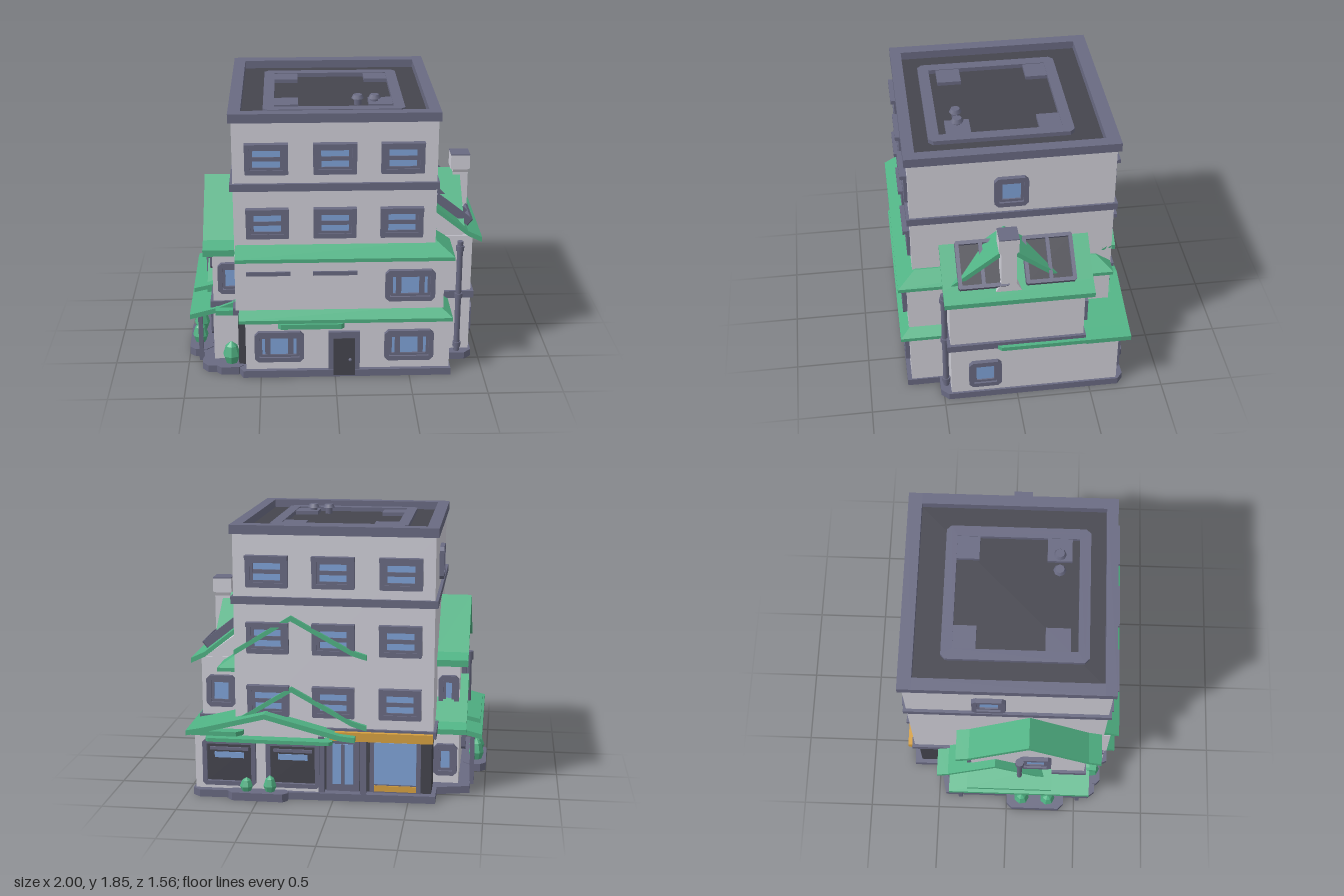
import * as THREE from 'three';

const mat = (name, color) => {
  const m = new THREE.MeshStandardMaterial({ color });
  m.name = name;
  return m;
};

export function createModel() {
  const root = new THREE.Group();
  root.name = 'townBuilding';
  const wall = mat('paleWall', 0xd0cfd8), slate = mat('slateTrim', 0x696a82), dark = mat('charcoal', 0x45454e);
  const green = mat('greenRoof', 0x50b284), glass = mat('blueGlass', 0x7fa3d8), orange = mat('orangeAwning', 0xd6a040);

  const add = (name, geo, m, parent = root) => {
    const mesh = new THREE.Mesh(geo, m);
    mesh.name = name;
    parent.add(mesh);
    return mesh;
  };
  const box = (name, m, x0, x1, y0, y1, z0, z1, parent = root) => {
    const g = new THREE.BoxGeometry(x1 - x0, y1 - y0, z1 - z0);
    return add(name, g.translate((x0 + x1) / 2, (y0 + y1) / 2, (z0 + z1) / 2), m, parent);
  };
  // Polygon extruded from a to b along an axis; points are (x,y), (z,y) or (x,z)
  const prism = (name, m, pts, axis, a, b) => {
    const shape = new THREE.Shape(pts.map(([u, v]) => new THREE.Vector2(u, axis === 'y' ? -v : v)));
    const g = new THREE.ExtrudeGeometry(shape, { depth: b - a, bevelEnabled: false });
    g.translate(0, 0, axis === 'x' ? -b : a);
    if (axis === 'x') g.rotateY(-Math.PI / 2);
    if (axis === 'y') g.rotateX(-Math.PI / 2);
    return add(name, g, m);
  };
  // Roof slab following a line of points
  const roof = (name, pts, axis, a, b, t = 0.035) =>
    prism(name, green, [...pts, ...pts.map(([u, v]) => [u, v - t]).reverse()], axis, a, b);
  // Rectangle in plan with cut corners
  const cut = (x0, x1, z0, z1, c) => [[x0 + c, z0], [x1 - c, z0], [x1, z0 + c], [x1, z1 - c],
    [x1 - c, z1], [x0 + c, z1], [x0, z1 - c], [x0, z0 + c]];
  // Sloping skirt: box whose top corners are moved to a smaller rectangle
  const skirt = (name, lo, hi, y0, yEdge, y1) => {
    const [a, b, c, d] = lo, [e, f, g, h] = hi;
    box(name + 'Edge', green, a, b, y0, yEdge, c, d);
    const geo = new THREE.BoxGeometry(1, 1, 1).toNonIndexed(), p = geo.attributes.position;
    for (let i = 0; i < p.count; i++) {
      const up = p.getY(i) > 0, r = p.getX(i) > 0, s = p.getZ(i) > 0;
      p.setXYZ(i, up ? (r ? f : e) : (r ? b : a), up ? y1 : yEdge, up ? (s ? h : g) : (s ? d : c));
    }
    geo.computeVertexNormals();
    add(name, geo, green);
  };

  // Frame with cut corners and a rectangular hole
  const frame = (w, h, t, depth, c) => {
    const shape = new THREE.Shape(cut(-w / 2, w / 2, -h / 2, h / 2, c).map(p => new THREE.Vector2(...p)));
    const iw = w / 2 - t, ih = h / 2 - t;
    shape.holes.push(new THREE.Path([[-iw, -ih], [-iw, ih], [iw, ih], [iw, -ih]].map(p => new THREE.Vector2(...p))));
    return new THREE.ExtrudeGeometry(shape, { depth, bevelEnabled: false });
  };
  const facing = (name, pos, dir) => {
    const g = new THREE.Group();
    g.name = name;
    g.position.set(...pos);
    g.lookAt(pos[0] + dir[0], pos[1] + dir[1], pos[2] + dir[2]);
    root.add(g);
    return g;
  };
  // Wide tower window with ledge, or smaller window with upright panes
  const wideWindow = (pos, dir) => {
    const g = facing('wideWindow', pos, dir);
    add('outerFrame', frame(0.28, 0.21, 0.032, 0.022, 0.006), slate, g);
    add('innerFrame', frame(0.22, 0.155, 0.021, 0.014, 0.004), slate, g);
    box('pane', glass, -0.1, 0.1, -0.065, 0.065, 0, 0.005, g);
    box('glazingBar', slate, -0.1, 0.1, -0.014, 0.014, 0, 0.012, g);
    box('ledge', slate, -0.14, 0.14, 0.08, 0.107, 0, 0.045, g);
  };
  const casement = (pos, dir, w = 0.33) => {
    const g = facing('casementWindow', pos, dir);
    add('outerFrame', frame(w, 0.22, 0.032, 0.03, 0.025), slate, g);
    add('innerFrame', frame(w - 0.06, 0.16, 0.02, 0.016, 0.012), slate, g);
    const iw = w / 2 - 0.048;
    box('pane', glass, -iw, iw, -0.062, 0.062, 0, 0.006, g);
    if (w > 0.3) for (const s of [-1, 1]) box('sidePost', slate, s * 0.077 - 0.018, s * 0.077 + 0.018, -0.062, 0.062, 0, 0.012, g);
  };
  const F = [0, 0, 1], B = [0, 0, -1], R = [1, 0, 0], L = [-1, 0, 0];

  // Plinth
  prism('plinth', slate, [[-0.9, -0.45], [-0.68, -0.5], [-0.68, -0.69], [0.25, -0.72], [0.9, -0.74], [0.95, -0.7],
    [0.95, 0.47], [0.9, 0.52], [0.78, 0.52], [0.78, 0.74], [-0.62, 0.74], [-0.66, 0.65], [-0.86, 0.65], [-0.9, 0.6]], 'y', 0, 0.05);

  // Tower and lower storeys
  box('towerWall', wall, -0.66, 0.66, 0.44, 1.78, -0.665, 0.665);
  box('shopCore', dark, -0.65, 0.66, 0.05, 0.44, -0.64, 0.64);
  box('groundFrontWall', wall, -0.6, 0.77, 0.05, 0.44, 0.4, 0.71);
  box('secondFrontWall', wall, -0.66, 0.72, 0.49, 0.88, 0.3, 0.71);
  box('rightGroundWing', wall, 0.6, 0.935, 0.05, 0.46, -0.69, 0.45);
  box('rightUpperWing', wall, 0.6, 0.935, 0.46, 0.9, -0.445, 0.45);
  box('rightWingBand', slate, 0.6, 0.955, 0.445, 0.495, -0.46, 0.47);
  box('towerLowerBand', slate, -0.68, 0.68, 0.445, 0.495, -0.685, 0.69);
  box('towerUpperBand', slate, -0.68, 0.675, 1.32, 1.37, -0.685, 0.685);

  // Flat roof with parapet, raised ring and vents
  box('roofDeck', dark, -0.61, 0.61, 1.74, 1.785, -0.61, 0.62);
  for (const [a, b, c, d] of [[-0.68, 0.675, -0.69, -0.6], [-0.68, 0.675, 0.61, 0.685],
    [-0.68, -0.6, -0.6, 0.61], [0.6, 0.675, -0.6, 0.61]]) {
    box('parapet', slate, a, b, 1.78, 1.84, c, d);
  }
  const ring = add('roofRing', frame(0.92, 0.94, 0.072, 0.03, 0.03), slate);
  ring.rotation.x = -Math.PI / 2;
  ring.position.set(0, 1.784, 0.04);
  for (const x of [-0.31, 0.31]) for (const z of [-0.29, 0.31]) {
    box('roofBlock', slate, x - 0.08, x + 0.08, 1.78, 1.81, z - 0.08, z + 0.08);
  }
  for (const x of [0.16, 0.27]) {
    add('ventStem', new THREE.CylinderGeometry(0.025, 0.025, 0.06, 8).translate(x, 1.81, 0.31), slate);
    add('ventCap', new THREE.CylinderGeometry(0.03, 0.042, 0.025, 8).translate(x, 1.84, 0.31), slate);
  }

  // Tower windows
  for (const x of [-0.44, 0, 0.435]) {
    for (const y of [1.537, 1.095]) wideWindow([x, y, 0.665], F);
    for (const y of [1.537, 1.095, 0.67]) wideWindow([x, y, -0.665], B);
    if (x < 0.4) box('windowHeader', slate, x - 0.145, x + 0.145, 0.74, 0.768, 0.7, 0.72);
  }
  casement([0.66, 1.535, 0.01], R, 0.22);
  casement([-0.66, 1.535, -0.12], L, 0.22);
  // Lower windows
  casement([0.495, 0.665, 0.71], F);
  casement([0.495, 0.225, 0.71], F);
  casement([-0.375, 0.225, 0.71], F);
  casement([0.935, 0.22, 0.22], R, 0.22);
  casement([0.8, 0.665, -0.445], B, 0.2);

  // Front door and canopy
  box('doorSurround', slate, -0.045, 0.165, 0, 0.33, 0.7, 0.735);
  box('door', dark, -0.012, 0.132, 0.01, 0.285, 0.73, 0.742);
  add('doorKnob', new THREE.SphereGeometry(0.012, 8, 6).translate(0.1, 0.13, 0.75), slate);
  prism('doorCanopy', green, cut(-0.38, 0.06, 0.6, 0.765, 0.02), 'y', 0.37, 0.405);

  // Green skirts over the front
  skirt('lowerSkirt', [-0.64, 0.78, 0.4, 0.77], [-0.64, 0.69, 0.4, 0.68], 0.415, 0.44, 0.5);
  skirt('upperSkirt', [-0.655, 0.78, -0.66, 0.77], [-0.655, 0.67, -0.56, 0.65], 0.855, 0.88, 0.95);

  // Right wing: lean-to roof, dormer, skylights, chimney and drainpipe
  roof('rightLeanRoof', [[0.64, 1.15], [0.9, 0.945], [0.995, 0.9]], 'z', -0.5, 0.485);
  prism('rightLeanGable', wall, [[0.6, 0.88], [0.935, 0.88], [0.64, 1.1]], 'z', -0.44, 0.44);
  roof('dormerRoof', [[0.44, 0.955], [0.06, 1.25], [-0.32, 0.955]], 'x', 0.6, 0.88, 0.04);
  for (const z of [-0.22, 0.22]) {
    const g = facing('skylight', [0.785, 1.04, z], [0.62, 0.785, 0]);
    add('skylightFrame', frame(0.33, 0.32, 0.025, 0.055, 0.01), slate, g);
    box('skylightPanel', dark, -0.15, 0.15, -0.14, 0.14, 0.01, 0.025, g);
    box('skylightBar', slate, -0.012, 0.012, -0.14, 0.14, 0.02, 0.05, g);
  }
  prism('chimney', wall, [[-0.03, 0.92], [0.15, 0.92], [0.11, 0.99], [0.11, 1.23], [0.125, 1.27], [0.125, 1.355],
    [-0.005, 1.355], [-0.005, 1.27], [0.01, 1.23], [0.01, 0.99]], 'x', 0.83, 0.935);
  box('chimneyHead', wall, 0.815, 0.945, 1.255, 1.355, -0.005, 0.125);
  box('chimneyCap', slate, 0.815, 0.945, 1.355, 1.362, -0.005, 0.125);
  add('drainpipe', new THREE.CylinderGeometry(0.02, 0.02, 0.86, 10).translate(0.85, 0.44, 0.48), slate);
  for (const y of [0.1, 0.47, 0.82]) {
    add('pipeCollar', new THREE.CylinderGeometry(0.028, 0.028, 0.035, 10).translate(0.85, y, 0.48), slate);
  }

  // Left wing: tall gable, small gable and lean-to porch
  box('leftGroundWing', wall, -0.82, -0.6, 0.05, 0.46, -0.4, 0.55);
  prism('leftUpperWing', wall, [[-0.25, 0.44], [0.55, 0.44], [0.55, 0.91], [0.15, 1.2], [-0.25, 0.91]], 'x', -0.815, -0.6);
  box('leftWingBand', slate, -0.835, -0.6, 0.445, 0.49, -0.4, 0.565);
  roof('leftGableRoof', [[0.65, 0.9], [0.56, 0.935], [0.15, 1.25], [-0.26, 0.935], [-0.35, 0.9]], 'x', -0.87, -0.64, 0.045);
  roof('smallGableRoof', [[0.3, 0.47], [-0.08, 0.74], [-0.42, 0.49], [-0.5, 0.46]], 'x', -0.87, -0.64);
  prism('smallGableWall', wall, [[0.25, 0.46], [-0.08, 0.7], [-0.4, 0.46]], 'x', -0.82, -0.64);
  roof('porchRoof', [[-0.975, 0.405], [-0.78, 0.455], [-0.66, 0.5]], 'z', -0.41, 0.59);
  roof('porchUpperRoof', [[-0.96, 0.475], [-0.78, 0.515]], 'z', -0.28, 0.32, 0.03);
  box('leftFrontEave', green, -0.8, -0.6, 0.42, 0.455, 0.5, 0.64);
  for (const z of [-0.34, 0.52]) box('porchPost', slate, -0.925, -0.895, 0.03, 0.41, z - 0.015, z + 0.015);
  casement([-0.82, 0.23, 0.22], L, 0.22);
  casement([-0.815, 0.72, 0.2], L, 0.22);
  casement([-0.68, 0.66, 0.55], F, 0.2);
  casement([-0.74, 0.66, -0.25], B, 0.14);
  casement([-0.73, 0.22, -0.4], B, 0.16);
  add('stovePipe', new THREE.CylinderGeometry(0.018, 0.018, 0.36, 8).translate(-0.865, 0.68, 0.09), slate);
  add('stovePipeCap', new THREE.CylinderGeometry(0.03, 0.03, 0.06, 8).translate(-0.865, 0.83, 0.09), slate);

  // Back: shop front, awning and gabled canopy
  box('shopAwning', orange, -0.66, 0.02, 0.42, 0.48, -0.715, -0.64);
  box('displayFrame', slate, -0.58, -0.24, 0.05, 0.42, -0.652, -0.63);
  box('displayGlass', glass, -0.55, -0.27, 0.11, 0.4, -0.658, -0.65);
  box('displayPanel', orange, -0.55, -0.27, 0.06, 0.1, -0.66, -0.65);
  box('shopDoorFrame', slate, -0.17, 0.05, 0.04, 0.42, -0.652, -0.63);
  box('shopDoorGlass', glass, -0.13, 0.01, 0.1, 0.38, -0.658, -0.65);
  box('shopDoorBar', slate, -0.07, -0.05, 0.1, 0.38, -0.664, -0.65);
  for (const x of [-0.2, 0.08]) box('shopPost', slate, x - 0.02, x + 0.02, 0.03, 0.44, -0.7, -0.66);
  box('backGroundWall', wall, 0.08, 0.66, 0.05, 0.46, -0.69, -0.5);
  for (const x of [0.27, 0.7]) {
    const g = facing('shutterWindow', [x, 0.24, -0.69], B);
    add('shutterFrame', frame(0.36, 0.32, 0.03, 0.03, 0.02), slate, g);
    box('shutter', dark, -0.16, 0.16, -0.14, 0.14, 0, 0.008, g);
    box('shutterPane', glass, -0.1, 0.1, 0.03, 0.07, 0.005, 0.013, g);
    box('shutterRail', slate, -0.13, 0.13, 0.085, 0.105, 0, 0.02, g);
  }
  roof('backCanopy', [[-0.15, 0.46], [-0.05, 0.47], [0.45, 0.6], [0.88, 0.49], [0.98, 0.47]], 'z', -0.765, -0.46);
  prism('backCanopyWall', wall, [[0, 0.43], [0.92, 0.43], [0.45, 0.57]], 'z', -0.69, -0.47);
  prism('sideCanopy', green, cut(0.6, 0.98, -0.765, 0.15, 0.04), 'y', 0.44, 0.47);
  prism('backLowerCanopy', green, cut(0.0, 0.85, -0.77, -0.64, 0.02), 'y', 0.4, 0.425);
  // Thin gable trims on the back wall
  for (const y of [1.25, 0.77]) roof('backGableTrim', [[-0.22, y - 0.25], [-0.12, y - 0.22], [0.28, y], [0.66, y - 0.24]], 'z', -0.69, -0.6);

  // Planters and bushes
  prism('leftPlanter', slate, cut(-1.0, -0.84, 0, 0.42, 0.04), 'y', 0, 0.055);
  prism('backPlanter', slate, cut(0.3, 0.7, -0.785, -0.68, 0.03), 'y', 0, 0.055);
  prism('frontPlanter', slate, cut(-0.8, -0.62, 0.56, 0.69, 0.03), 'y', 0, 0.055);
  const profile = [[0, 0], [0.7, 0.08], [1, 0.4], [0.65, 0.8], [0, 1]].map(p => new THREE.Vector2(...p));
  for (const [x, z, r, h] of [[-0.93, 0.11, 0.055, 0.16], [-0.93, 0.3, 0.055, 0.15], [-0.7, 0.62, 0.06, 0.17],
    [0.42, -0.735, 0.045, 0.12], [0.58, -0.735, 0.045, 0.1]]) {
    const g = new THREE.LatheGeometry(profile, 7).scale(r, h, r).toNonIndexed();
    g.computeVertexNormals();
    add('bush', g.translate(x, 0.05, z), green);
  }
  return root;
}
